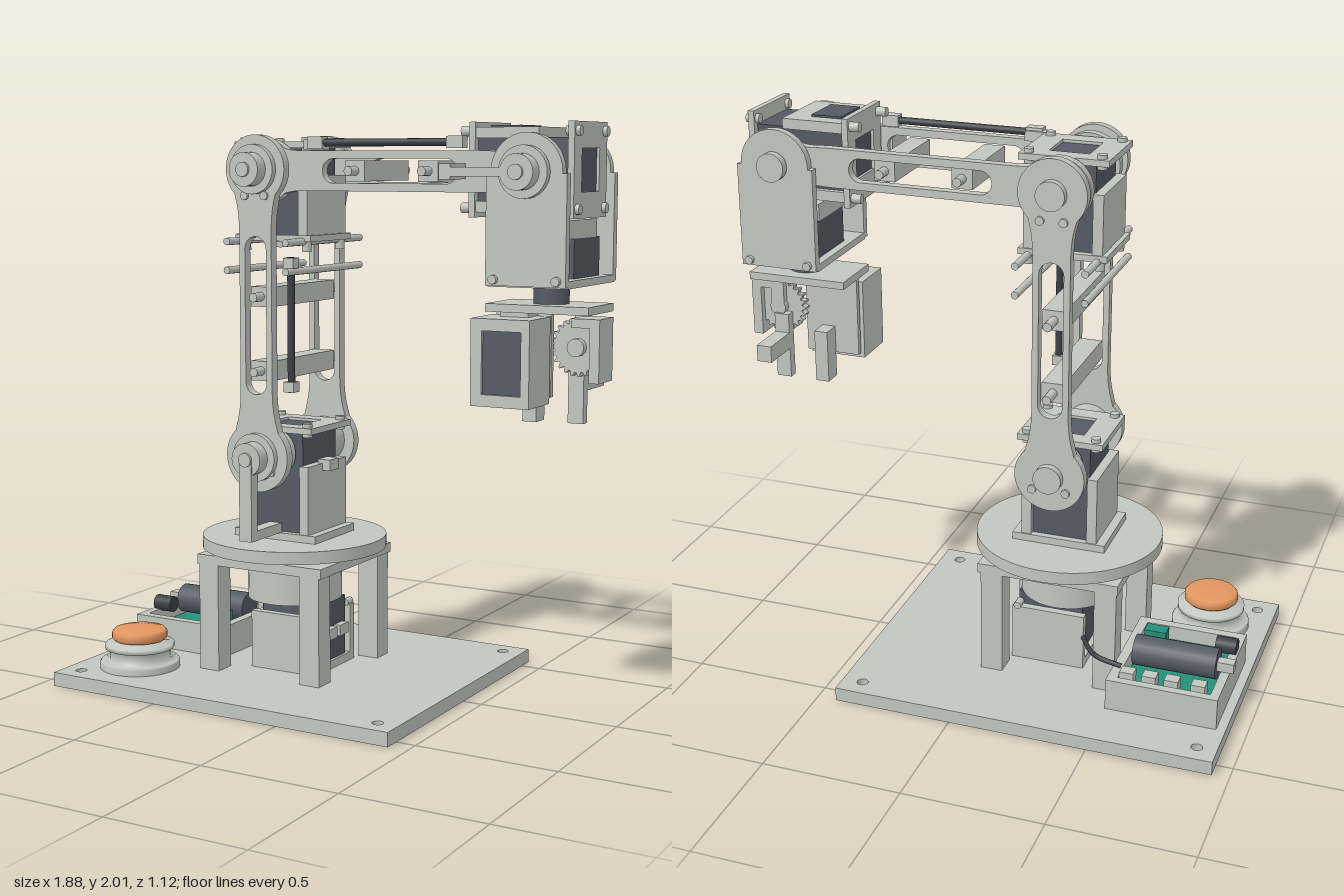
import * as THREE from 'three';

const paint = (name, color) => {
  const m = new THREE.MeshStandardMaterial({ color });
  m.name = name;
  return m;
};

export function createModel() {
  const grey = paint('light grey', 0xc2c6c0);
  const dark = paint('slate', 0x535b64);
  const black = paint('charcoal', 0x3b4045);
  const green = paint('board green', 0x259079);
  const orange = paint('button orange', 0xe2965f);
  const model = new THREE.Group();
  model.name = 'robotArm';

  const add = (parent, name, geo, mat) => {
    const m = new THREE.Mesh(geo, mat);
    m.name = name;
    parent.add(m);
    return m;
  };
  // Box given by its limits
  const box = (p, name, mat, x0, x1, y0, y1, z0, z1) => {
    const m = add(p, name, new THREE.BoxGeometry(x1 - x0, y1 - y0, z1 - z0), mat);
    m.position.set((x0 + x1) / 2, (y0 + y1) / 2, (z0 + z1) / 2);
    return m;
  };
  // Cylinder between two points
  const rod = (p, name, mat, a, b, r, seg = 24) => {
    const A = new THREE.Vector3(...a), d = new THREE.Vector3(...b).sub(A);
    const m = add(p, name, new THREE.CylinderGeometry(r, r, d.length(), seg), mat);
    m.position.copy(A).addScaledVector(d, 0.5);
    m.quaternion.setFromUnitVectors(new THREE.Vector3(0, 1, 0), d.normalize());
    return m;
  };
  const zRod = (p, name, mat, x, y, z0, z1, r, seg) => rod(p, name, mat, [x, y, z0], [x, y, z1], r, seg);
  const rectShape = (x0, x1, y0, y1) => new THREE.Shape([[x0, y0], [x1, y0], [x1, y1], [x0, y1]].map(q => new THREE.Vector2(...q)));
  const hole = (x, y, r) => new THREE.Path().absarc(x, y, r, 0, Math.PI * 2, true);
  const extrude = (s, depth) => new THREE.ExtrudeGeometry(s, { depth, bevelEnabled: false, curveSegments: 16 });

  // Base plate with four corner holes
  const base = rectShape(-0.94, 0.43, -0.56, 0.56);
  for (const x of [-0.87, 0.355]) for (const z of [-0.49, 0.49]) base.holes.push(hole(x, z, 0.02));
  add(model, 'basePlate', extrude(base, 0.05), grey).rotation.x = -Math.PI / 2;
  model.children[0].position.y = 0;

  // Stand: posts, top plate, bearing drum and turntable
  for (const x of [-0.47, -0.05]) for (const z of [-0.213, 0.213])
    box(model, 'standPost', grey, x - 0.04, x + 0.04, 0.05, 0.44, z - 0.04, z + 0.04);
  box(model, 'standTop', grey, -0.515, 0, 0.44, 0.475, -0.257, 0.257);
  rod(model, 'bearingDrum', grey, [-0.26, 0.3, 0], [-0.26, 0.44, 0], 0.172, 40);
  rod(model, 'turntableHub', grey, [-0.26, 0.475, 0], [-0.26, 0.49, 0], 0.2, 40);
  rod(model, 'turntable', grey, [-0.26, 0.488, 0], [-0.26, 0.533, 0], 0.335, 64);

  // Base servo in its cradle
  box(model, 'baseServo', dark, -0.34, -0.1, 0.08, 0.3, -0.09, 0.09);
  for (const z of [-0.125, 0.125]) {
    box(model, 'cradleSide', grey, -0.36, -0.09, 0.05, 0.26, z - 0.015, z + 0.015);
    zRod(model, 'cradleBolt', grey, -0.11, 0.265, z - 0.02, z + 0.02, 0.014, 12);
  }
  box(model, 'cradleFloor', grey, -0.36, -0.09, 0.05, 0.08, -0.12, 0.12);
  for (const z of [-0.04, 0.04]) box(model, 'servoPlug', grey, -0.1, -0.075, 0.165, 0.205, z - 0.03, z + 0.03);

  // Electronics tray
  const tray = rectShape(-0.907, -0.51, -0.1, 0.366);
  tray.holes.push(new THREE.Path(rectShape(-0.875, -0.545, -0.065, 0.335).getPoints().reverse()));
  const rim = add(model, 'trayWall', extrude(tray, 0.115), grey);
  rim.rotation.x = -Math.PI / 2;
  rim.position.y = 0.05;
  box(model, 'circuitBoard', green, -0.87, -0.55, 0.09, 0.115, -0.33, 0.06);
  rod(model, 'capacitor', dark, [-0.86, 0.18, -0.155], [-0.56, 0.18, -0.155], 0.055);
  rod(model, 'powerJack', black, [-0.9, 0.185, -0.03], [-0.825, 0.185, -0.03], 0.03);
  box(model, 'trayClip', grey, -0.92, -0.86, 0.165, 0.2, -0.18, -0.14);
  box(model, 'greenPlug', green, -0.64, -0.56, 0.115, 0.195, -0.04, 0.01);
  for (const x of [-0.825, -0.73, -0.65, -0.57]) box(model, 'terminal', grey, x - 0.025, x + 0.025, 0.11, 0.175, -0.315, -0.27);
  const wire = new THREE.CatmullRomCurve3([[-0.55, 0.19, -0.3], [-0.45, 0.2, -0.28], [-0.34, 0.17, -0.1]].map(q => new THREE.Vector3(...q)));
  add(model, 'wire', new THREE.TubeGeometry(wire, 12, 0.009, 8), black);

  // Push button
  const lathe = (name, mat, pts) => add(model, name, new THREE.LatheGeometry(pts.map(q => new THREE.Vector2(...q)), 40), mat).position.set(-0.72, 0, 0.335);
  lathe('buttonBase', grey, [[0.145, 0.05], [0.145, 0.072], [0.14, 0.078], [0.11, 0.08], [0.11, 0.118], [0.125, 0.122], [0.125, 0.138], [0.085, 0.14], [0.085, 0.157], [0, 0.157]]);
  lathe('buttonCap', orange, [[0, 0.152], [0.092, 0.152], [0.1, 0.16], [0.1, 0.18], [0.092, 0.19], [0.05, 0.194], [0, 0.195]]);

  // Servo in a bolted frame; local y runs between the two windowed end plates
  const servoUnit = (name, x, y, lo, hi, turn) => {
    const g = new THREE.Group();
    g.name = name;
    g.position.set(x, y, 0);
    g.rotation.z = turn;
    box(g, 'servoBody', dark, -0.105, 0.105, lo + 0.01, hi - 0.01, -0.115, 0.115);
    for (const s of [-1, 1]) box(g, 'servoWall', grey, s * 0.12 - 0.018, s * 0.12 + 0.018, lo, lo + (hi - lo) * 0.66, -0.135, 0.135);
    const plate = rectShape(-0.155, 0.155, -0.14, 0.14);
    plate.holes.push(new THREE.Path(rectShape(-0.07, 0.07, -0.075, 0.075).getPoints().reverse()));
    for (const yy of [lo, hi - 0.022]) {
      const m = add(g, 'endPlate', extrude(plate, 0.022), grey);
      m.rotation.x = -Math.PI / 2;
      m.position.y = yy;
    }
    for (const px of [-0.125, 0.125]) for (const pz of [-0.115, 0.115])
      for (const yy of [lo, hi]) rod(g, 'frameBolt', grey, [px, yy - 0.035, pz], [px, yy + 0.014, pz], 0.017, 12);
    model.add(g);
    return g;
  };
  servoUnit('shoulderServo', -0.26, 0.85, -0.315, 0.095, 0);
  servoUnit('elbowServo', -0.26, 1.85, -0.25, 0.095, 0);
  const wrist = servoUnit('wristServo', 0.74, 1.85, -0.24, 0.13, -Math.PI / 2);
  box(wrist, 'wristWindow', dark, -0.145, -0.137, -0.19, -0.08, -0.08, 0.08);
  box(model, 'shoulderFoot', grey, -0.43, -0.09, 0.533, 0.56, -0.14, 0.14);
  box(model, 'shoulderPlug', grey, -0.14, -0.09, 0.78, 0.82, -0.03, 0.035);

  // Slotted link, joint to joint along local x
  const link = (len, r0, r1, w, s0, s1, sw) => {
    const s = new THREE.Shape();
    s.absarc(0, 0, r0, Math.PI * 0.25, Math.PI * 1.75, false);
    s.bezierCurveTo(r0 * 1.1, -r0 * 0.6, r0 * 1.3, -w, r0 * 2, -w);
    s.lineTo(len - r1 * 2, -w);
    s.bezierCurveTo(len - r1 * 1.3, -w, len - r1 * 1.1, -r1 * 0.6, len - r1 * 0.7, -r1 * 0.7);
    s.absarc(len, 0, r1, -Math.PI * 0.75, Math.PI * 0.75, false);
    s.bezierCurveTo(len - r1 * 1.1, r1 * 0.6, len - r1 * 1.3, w, len - r1 * 2, w);
    s.lineTo(r0 * 2, w);
    s.bezierCurveTo(r0 * 1.3, w, r0 * 1.1, r0 * 0.6, r0 * 0.7, r0 * 0.7);
    const h = new THREE.Path();
    h.absarc(s0 + sw, 0, sw, Math.PI * 1.5, Math.PI * 0.5, true);
    h.absarc(s1 - sw, 0, sw, Math.PI * 0.5, -Math.PI * 0.5, true);
    s.holes.push(h);
    return extrude(s, 0.035);
  };
  const upper = link(1, 0.125, 0.118, 0.065, 0.22, 0.77, 0.043);
  const fore = link(1, 0.11, 0.1, 0.068, 0.23, 0.74, 0.041);
  for (const s of [-1, 1]) {
    const u = add(model, 'upperArmPlate', upper, grey);
    u.rotation.z = Math.PI / 2;
    u.position.set(-0.26, 0.85, s * 0.235 - 0.0175);
    add(model, 'forearmPlate', fore, grey).position.set(-0.26, 1.845, s * 0.168 - 0.0175);
    // Hubs between servos and plates
    for (const [x, y, z1] of [[-0.26, 0.85, 0.22], [-0.26, 1.85, 0.22], [0.74, 1.845, 0.21]])
      zRod(model, 'jointHub', grey, x, y, s * 0.13, s * z1, 0.085, 32);
    // Screws around the elbow and shoulder plates
    for (const [x, y] of [[-0.3, 1.76], [-0.22, 1.76], [-0.32, 0.8], [-0.2, 0.8]])
      zRod(model, 'plateScrew', grey, x, y, s * 0.24, s * 0.262, 0.015, 12);
  }
  // Front pivots: stepped rings and boss
  for (const [x, y, z] of [[-0.26, 0.85, 0.25], [-0.26, 1.85, 0.25], [0.74, 1.845, 0.225]]) {
    zRod(model, 'pivotRing', grey, x, y, z, z + 0.025, 0.085, 32);
    zRod(model, 'pivotBoss', grey, x, y, z, z + 0.075, 0.058, 32);
    zRod(model, 'pivotPin', grey, x, y, z, z + 0.085, 0.025, 20);
    zRod(model, 'rearPivot', grey, x, y, -z, -z - 0.03, 0.05, 32);
  }

  // Cross blocks tying each pair of plates
  for (const y of [1.15, 1.41]) {
    box(model, 'upperCrossBlock', grey, -0.3, -0.22, y - 0.035, y + 0.035, -0.22, 0.22);
    zRod(model, 'crossScrew', grey, -0.26, y, -0.29, 0.27, 0.016, 12);
  }
  for (const x of [0.083, 0.36]) {
    box(model, 'forearmCrossBlock', grey, x - 0.037, x + 0.037, 1.81, 1.88, -0.16, 0.16);
    zRod(model, 'crossScrew', grey, x, 1.845, -0.21, 0.21, 0.016, 12);
  }
  for (const y of [1.5, 1.6]) for (const x of [-0.38, -0.14]) zRod(model, 'spacerRod', grey, x, y, -0.27, 0.25, 0.013, 12);

  // Dark linkage rods with end fittings
  rod(model, 'upperLinkRod', black, [-0.145, 1.08, 0.205], [-0.145, 1.55, 0.205], 0.013, 12);
  rod(model, 'forearmLinkRod', black, [-0.06, 1.94, 0.15], [0.47, 1.94, 0.15], 0.013, 12);
  for (const y of [1.1, 1.53]) box(model, 'rodEnd', grey, -0.165, -0.125, y - 0.018, y + 0.018, 0.185, 0.225);
  for (const x of [-0.07, 0.46]) box(model, 'rodEnd', grey, x - 0.03, x + 0.03, 1.92, 1.96, 0.13, 0.17);
  box(model, 'rodBracket', grey, -0.12, -0.04, 1.915, 1.95, 0.12, 0.16);

  // Shoulder lever and foot, wrist lever
  box(model, 'shoulderLever', grey, -0.285, -0.235, 0.56, 0.85, 0.29, 0.33);
  box(model, 'leverFoot', grey, -0.285, -0.235, 0.56, 0.595, 0.13, 0.33);
  box(model, 'wristLever', grey, 0.47, 0.74, 1.83, 1.86, 0.27, 0.3);
  box(model, 'wristLeverFoot', grey, 0.47, 0.51, 1.82, 1.87, 0.17, 0.3);

  // Wrist yoke
  for (const s of [-1, 1]) {
    const z = s * 0.205;
    box(model, 'yokeSide', grey, 0.6, 0.88, 1.48, 1.84, z - 0.015, z + 0.015);
    zRod(model, 'yokeEar', grey, 0.74, 1.845, z - 0.015, z + 0.015, 0.125, 32);
    for (const x of [0.63, 0.85]) zRod(model, 'yokeScrew', grey, x, 1.5, s * 0.215, s * 0.235, 0.015, 12);
  }
  box(model, 'yokeFloor', grey, 0.6, 0.88, 1.475, 1.5, -0.2, 0.2);
  box(model, 'rollServo', dark, 0.63, 0.85, 1.5, 1.63, -0.14, 0.08);
  box(model, 'rollServoCap', grey, 0.63, 0.85, 1.63, 1.69, -0.115, 0.125);
  rod(model, 'rollShaft', dark, [0.74, 1.4, 0], [0.74, 1.48, 0], 0.06);

  // Gripper: carrier, servo in frame, gear and fingers
  box(model, 'gripperCarrier', grey, 0.55, 0.915, 1.385, 1.412, -0.11, 0.11);
  const frame = rectShape(0.54, 0.75, 1.08, 1.37);
  frame.holes.push(new THREE.Path(rectShape(0.58, 0.72, 1.12, 1.33).getPoints().reverse()));
  add(model, 'gripperFrame', extrude(frame, 0.17), grey).position.z = 0.03;
  box(model, 'gripperServo', dark, 0.575, 0.725, 1.115, 1.335, 0.02, 0.19);
  box(model, 'gripperHanger', grey, 0.6, 0.7, 1.33, 1.39, 0, 0.1);
  box(model, 'gripperBack', grey, 0.55, 0.75, 1.1, 1.4, 0, 0.02);
  const teeth = [];
  for (let i = 0; i < 96; i++) {
    const a = i / 96 * Math.PI * 2, r = i % 4 < 2 ? 0.098 : 0.084;
    teeth.push(new THREE.Vector2(0.835 + r * Math.cos(a), 1.27 + r * Math.sin(a)));
  }
  add(model, 'gripperGear', extrude(new THREE.Shape(teeth), 0.03), grey).position.z = -0.035;
  zRod(model, 'gearHub', grey, 0.835, 1.27, -0.06, 0.02, 0.03);
  box(model, 'gearArm', grey, 0.81, 0.86, 1.27, 1.4, -0.06, -0.036);
  box(model, 'innerFinger', grey, 0.79, 0.845, 1.01, 1.25, -0.07, -0.035);
  box(model, 'backFinger', grey, 0.64, 0.69, 1.01, 1.2, -0.07, 0);
  box(model, 'fingerBar', grey, 0.79, 0.845, 1.12, 1.18, -0.22, -0.06);
  box(model, 'outerFinger', grey, 0.9, 0.935, 1.16, 1.37, -0.06, 0.06);
  box(model, 'outerFingerArm', grey, 0.835, 0.935, 1.34, 1.37, -0.06, 0.06);
  return model;
}
